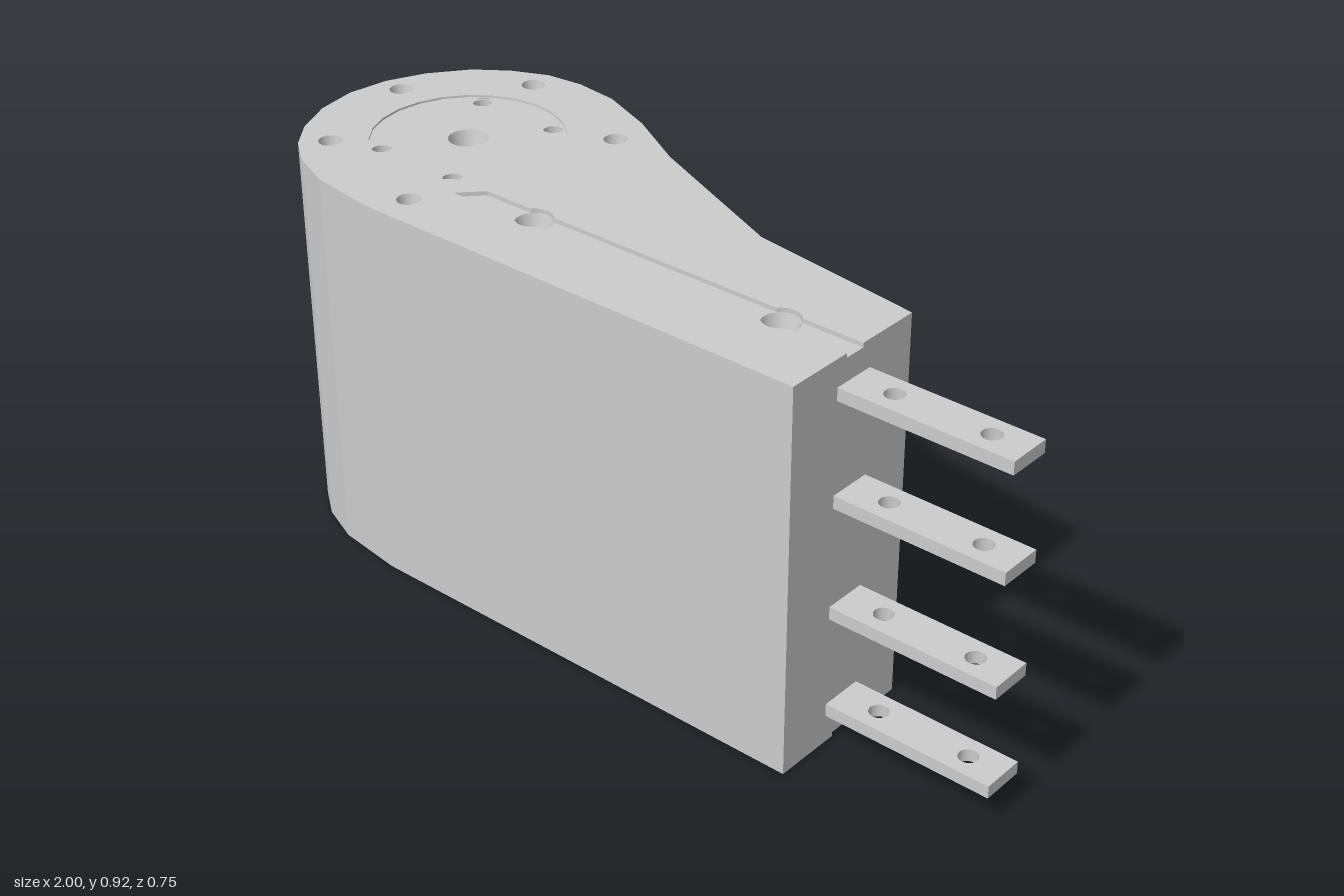
import * as THREE from 'three';

const H = 0.92, STEP = 0.01, DEEP = 0.08;
const END_X = 0.595, GROOVE_Z = 0.186, GROOVE_HALF = 0.026, BOLT_R = 0.042;
const HUB = [-0.63, -0.01], HUB_R = 0.22;

// plan outline as [x, z], from the back of the end face round to its front
const outline = [
  [END_X, 0.003], [0.54, -0.005], [0.17, -0.055], [-0.22, -0.22], [-0.38, -0.31],
  [-0.52, -0.365], [-0.63, -0.378], [-0.72, -0.368], [-0.805, -0.33], [-0.88, -0.275],
  [-0.945, -0.19], [-0.985, -0.1], [-1, 0], [-0.985, 0.1], [-0.945, 0.19],
  [-0.89, 0.26], [-0.82, 0.312], [-0.72, 0.353], [-0.55, 0.376], [END_X, 0.376],
];
const pinHoles = [[-0.74, -0.168], [-0.52, -0.168], [-0.74, 0.15], [-0.52, 0.15]]
  .map(([x, z]) => [x, z, 0.023]);
const rimHoles = [[-0.505, 0.295], [-0.845, 0.205], [-0.925, -0.09], [-0.71, -0.305], [-0.37, -0.21]]
  .map(([x, z]) => [x, z, 0.027]);
const hubHole = [...HUB, 0.045];
const grooveHoles = [[0.415, GROOVE_Z, BOLT_R], [-0.245, GROOVE_Z, BOLT_R]];

// plan shape with round holes; shape y is -z
function plan(points, holes) {
  const shape = new THREE.Shape(points.map(([x, z]) => new THREE.Vector2(x, -z)));
  for (const [x, z, r] of holes) {
    shape.holes.push(new THREE.Path().absarc(x, -z, r, 0, Math.PI * 2, true));
  }
  return shape;
}

function circle([x, z], r, n = 48) {
  return Array.from({ length: n }, (_, i) => {
    const t = (i / n) * Math.PI * 2;
    return [x + r * Math.cos(t), z + r * Math.sin(t)];
  });
}

// one groove edge bulging round the bolt hole at cx; side +1 front, -1 back
function bulge(cx, side) {
  const a = Math.asin(GROOVE_HALF / BOLT_R), n = 8;
  return Array.from({ length: n + 1 }, (_, i) => {
    const t = a + (Math.PI - 2 * a) * (side > 0 ? i / n : 1 - i / n);
    return [cx + BOLT_R * Math.cos(t), GROOVE_Z + side * BOLT_R * Math.sin(t)];
  });
}

export function createModel() {
  const model = new THREE.Group();
  const material = new THREE.MeshStandardMaterial({ color: 0xcccccc });
  const openMaterial = new THREE.MeshStandardMaterial({ color: 0xcccccc, side: THREE.DoubleSide });

  const slab = (name, points, holes, y0, y1) => {
    const geometry = new THREE.ExtrudeGeometry(plan(points, holes), {
      depth: y1 - y0, bevelEnabled: false, curveSegments: 12,
    });
    geometry.rotateX(-Math.PI / 2);
    const mesh = new THREE.Mesh(geometry, material);
    mesh.name = name;
    mesh.position.y = y0;
    model.add(mesh);
  };

  // outline of the outermost layer, notched by the groove from the end face
  const z1 = GROOVE_Z + GROOVE_HALF, z0 = GROOVE_Z - GROOVE_HALF;
  const [near, far] = grooveHoles.map((h) => h[0]);
  const grooved = [
    ...outline, [END_X, z1], ...bulge(near, 1), ...bulge(far, 1), [-0.455, z1],
    [-0.405, z0], ...bulge(far, -1), ...bulge(near, -1), [END_X, z0],
  ];

  // solid core, pierced only by the pin holes
  slab('bodyCore', outline, pinHoles, DEEP, H - DEEP);

  for (const end of ['top', 'bottom']) {
    const up = end === 'top';
    const layer = (name, points, holes, d0, d1) =>
      slab(end + name, points, holes, up ? H - d1 : d0, up ? H - d0 : d1);

    // layer holding the blind holes, then the grooved face and the sunken hub disc
    layer('HoleLayer', outline, [...pinHoles, ...rimHoles, hubHole, ...grooveHoles], STEP, DEEP);
    layer('Face', grooved, [...rimHoles, [...HUB, HUB_R]], 0, STEP);
    layer('HubRecess', circle(HUB, HUB_R), [...pinHoles, hubHole], STEP / 2, STEP);

    // tapered walls of the blind holes
    const sockets = [
      ...rimHoles.map((h) => [...h, 0]), [...hubHole, STEP / 2],
      ...grooveHoles.map((h) => [...h, STEP]),
    ];
    for (const [x, z, r, d] of sockets) {
      const cone = new THREE.Mesh(
        new THREE.CylinderGeometry(r, r * 0.55, DEEP - d, 24, 1, true), openMaterial);
      cone.name = end + 'Socket';
      const mid = (DEEP + d) / 2;
      cone.position.set(x, up ? H - mid : mid, z);
      if (!up) cone.rotation.x = Math.PI;
      model.add(cone);
    }
  }

  // four flat terminal tabs with two holes each
  const tab = [[END_X, 0.136], [END_X, 0.238], [1, 0.238], [1, 0.136]];
  const tabHoles = [[0.692, GROOVE_Z, 0.022], [0.915, GROOVE_Z, 0.022]];
  for (const y of [0.068, 0.313, 0.58, 0.826]) {
    slab('terminalTab', tab, tabHoles, y, y + 0.03);
  }
  return model;
}
